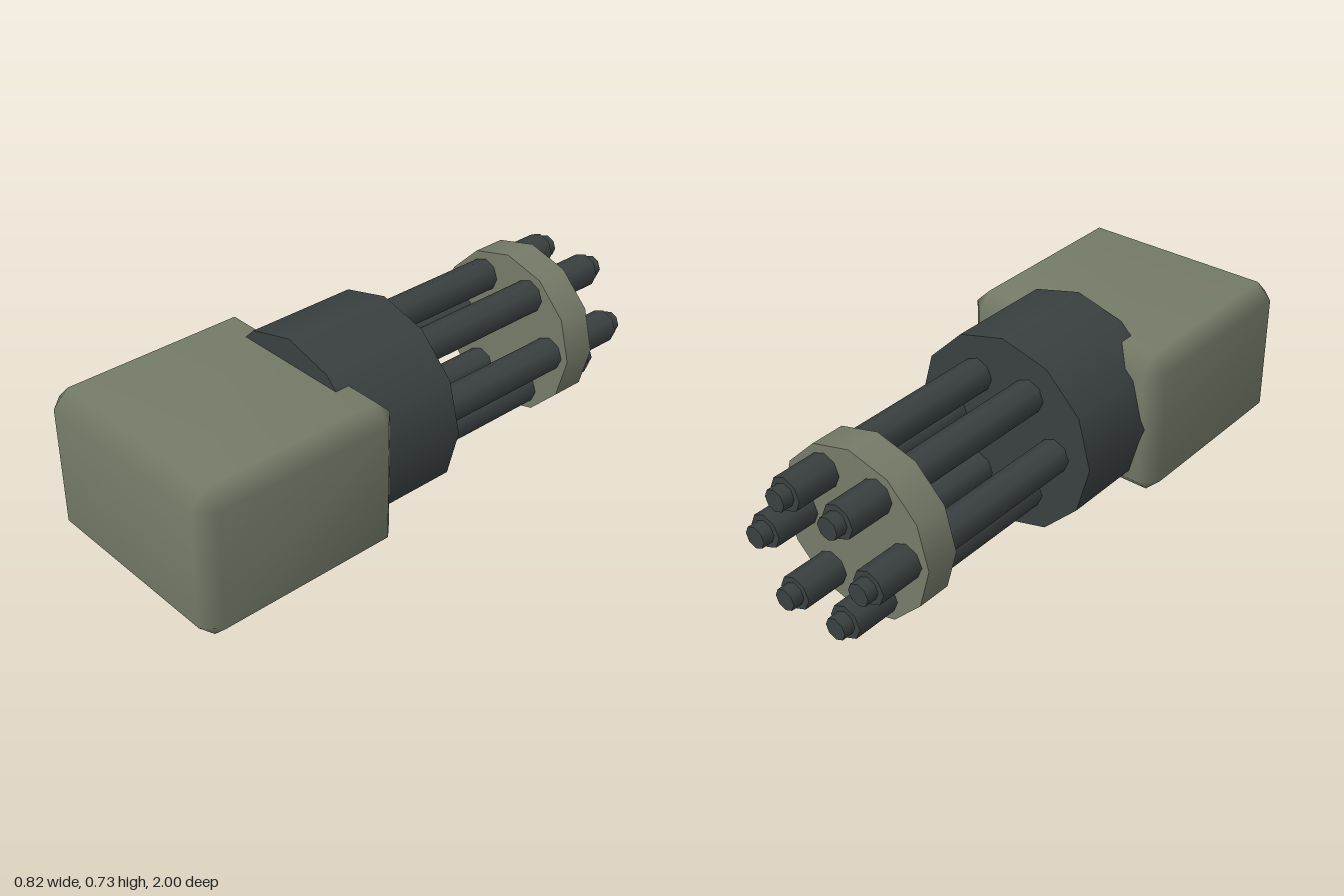
import * as THREE from 'three';
import { ConvexGeometry } from 'three/addons/geometries/ConvexGeometry.js';
import { mergeVertices } from 'three/addons/utils/BufferGeometryUtils.js';

const CENTRE_Y = 0.366;

// Box with cut edges and corners, shaded smoothly across them
function chamferedBox(w, h, d, cut) {
  const points = [];
  for (const x of [-w / 2, w / 2])
    for (const y of [-h / 2, h / 2])
      for (const z of [-d / 2, d / 2])
        for (const axis of ['x', 'y', 'z']) {
          const p = new THREE.Vector3(x, y, z);
          for (const other of ['x', 'y', 'z'])
            if (other !== axis) p[other] -= Math.sign(p[other]) * cut;
          points.push(p);
        }
  const flat = new ConvexGeometry(points);
  flat.deleteAttribute('normal');
  const smooth = mergeVertices(flat, 1e-4);
  smooth.computeVertexNormals();
  return smooth;
}

// Cylinder lying along z between two depths
function zCylinder(radius, z0, z1, sides) {
  return new THREE.CylinderGeometry(radius, radius, Math.abs(z1 - z0), sides)
    .rotateX(Math.PI / 2)
    .translate(0, 0, (z0 + z1) / 2);
}

export function createModel() {
  const model = new THREE.Group();
  model.name = 'rotaryGun';
  const olive = new THREE.MeshStandardMaterial({ color: 0x757b68 });
  const steel = new THREE.MeshStandardMaterial({ color: 0x3a4040 });

  const add = (parent, name, geometry, material) => {
    const mesh = new THREE.Mesh(geometry, material);
    mesh.name = name;
    parent.add(mesh);
    return mesh;
  };

  // Housing block
  add(model, 'housing', chamferedBox(0.82, 0.546, 0.77, 0.057), olive)
    .position.set(0, CENTRE_Y, 0.615);

  // Drum and barrel clamp
  add(model, 'drum', zCylinder(0.364, 0.34, -0.07, 12), steel).position.y = CENTRE_Y;
  add(model, 'barrelClamp', zCylinder(0.307, -0.665, -0.79, 12), olive).position.y = CENTRE_Y;

  // Ring of six barrels, each with a narrower muzzle
  const barrelGeometry = zCylinder(0.061, -0.04, -0.957, 8);
  const muzzleGeometry = zCylinder(0.04, -0.94, -1, 8);
  for (let i = 0; i < 6; i++) {
    const a = (i * Math.PI) / 3;
    const unit = new THREE.Group();
    unit.name = `barrelUnit${i + 1}`;
    unit.position.set(0.218 * Math.cos(a), CENTRE_Y + 0.218 * Math.sin(a), 0);
    add(unit, 'barrel', barrelGeometry, steel);
    add(unit, 'muzzle', muzzleGeometry, steel);
    model.add(unit);
  }
  return model;
}
